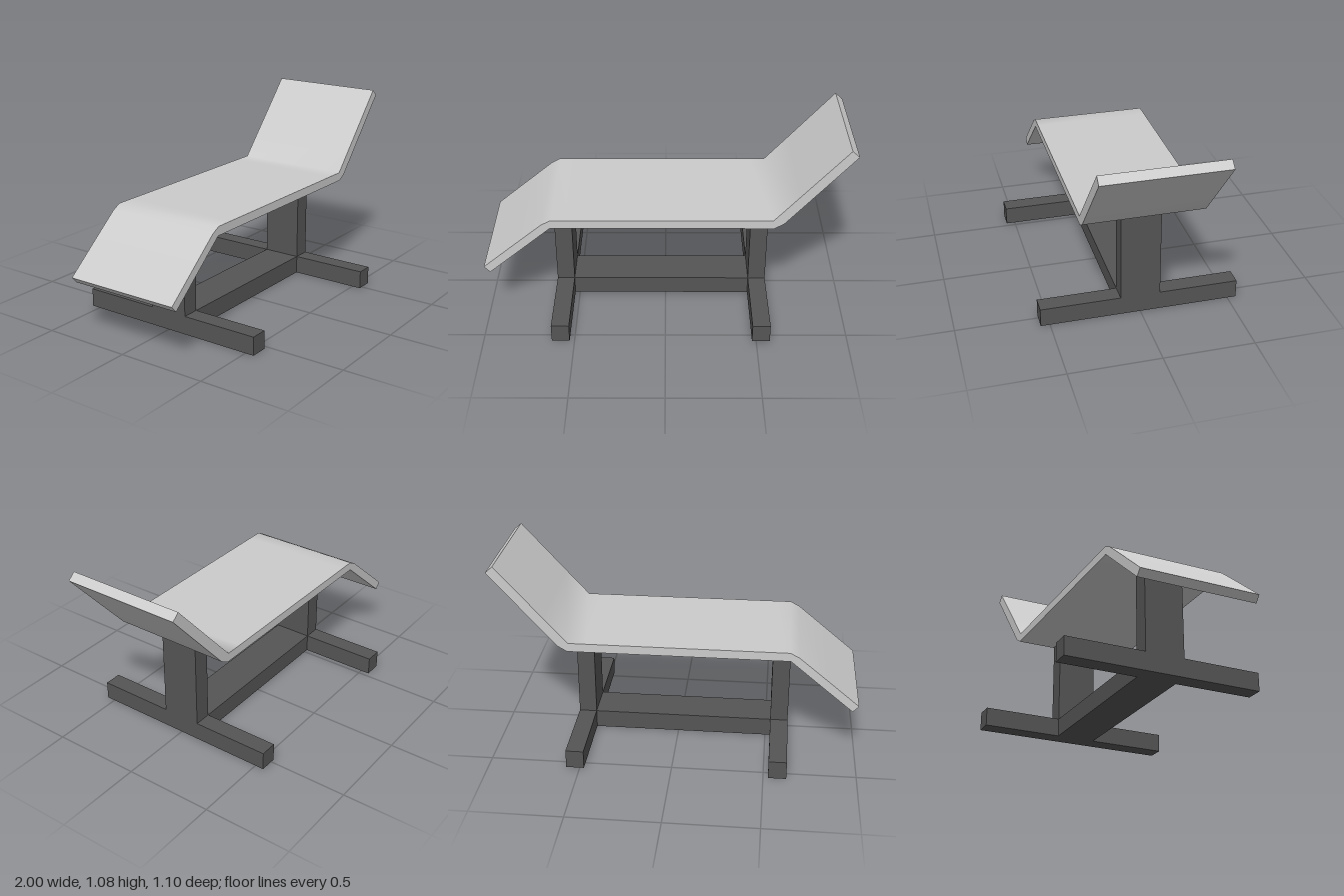
import * as THREE from 'three';
import { toCreasedNormals } from 'three/addons/utils/BufferGeometryUtils.js';

const padMaterial = new THREE.MeshStandardMaterial({ color: 0xcccccc, side: THREE.DoubleSide });
const frameMaterial = new THREE.MeshStandardMaterial({ color: 0x555555 });

// Box given by its x and y ranges, centred on z = 0
function box(name, x0, x1, y0, y1, depth) {
  const mesh = new THREE.Mesh(new THREE.BoxGeometry(x1 - x0, y1 - y0, depth), frameMaterial);
  mesh.position.set((x0 + x1) / 2, (y0 + y1) / 2, 0);
  mesh.name = name;
  return mesh;
}

// Bent lounge pad: side profile extruded across the width
function createPad() {
  const width = 0.66;
  const underside = [
    [-0.968, 0.307], [-0.8, 0.448], [-0.622, 0.598], [-0.52, 0.598],
    [0.48, 0.598], [0.585, 0.598], [0.636, 0.628], [0.77, 0.78], [1.0, 1.042],
  ];
  const topside = [
    [0.96, 1.077], [0.71, 0.796], [0.577, 0.647], [0.48, 0.647],
    [-0.52, 0.647], [-0.618, 0.647], [-0.668, 0.62], [-0.83, 0.485], [-1.0, 0.342],
  ];
  const shape = new THREE.Shape([...underside, ...topside].map(([x, y]) => new THREE.Vector2(x, y)));
  const geometry = new THREE.ExtrudeGeometry(shape, { depth: width, bevelEnabled: false });
  geometry.translate(0, 0, -width / 2);
  // Bends stay smooth, edges stay sharp
  const pad = new THREE.Mesh(toCreasedNormals(geometry, 1.0), padMaterial);
  pad.name = 'loungePad';
  return pad;
}

export function createModel() {
  const model = new THREE.Group();
  model.name = 'lounger';
  model.add(createPad());

  // Two T-shaped supports joined by a low beam
  const footHeight = 0.103;
  for (const [side, x0, x1] of [['right', -0.625, -0.527], ['left', 0.477, 0.575]]) {
    const support = new THREE.Group();
    support.name = side + 'Support';
    support.add(
      box(side + 'Foot', x0, x1, 0, footHeight, 1.1),
      box(side + 'Post', x0, x1, footHeight, 0.598, 0.22),
    );
    model.add(support);
  }
  model.add(box('beam', -0.527, 0.477, 0, footHeight, 0.22));
  return model;
}
